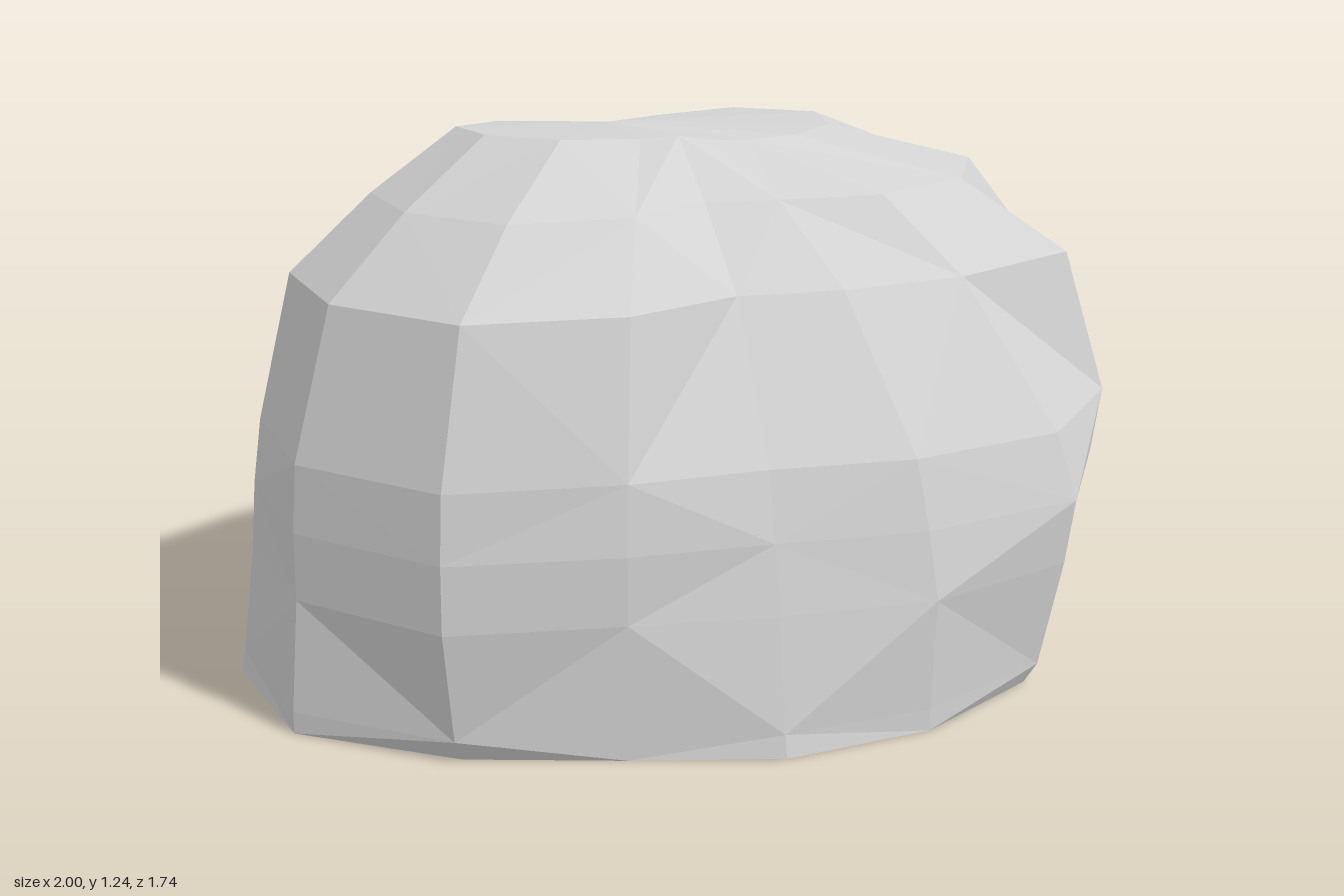
import * as THREE from 'three';

// Horizontal cross-sections: height, then radii around y, from +x towards +z
const SECTIONS = [
  [0.00, [.83, .88, .95, .91, .87, .83, .91, 1.03, 1.0, .95, .91, .83, .87, .86, .86, .84]],
  [0.05, [.88, .93, .98, .91, .86, .83, .94, 1.03, .99, .95, .91, .83, .86, .86, .87, .88]],
  [0.30, [.95, 1.03, 1.03, .92, .82, .83, .98, 1.01, .96, .93, .89, .82, .82, .85, .88, .92]],
  [0.45, [.98, 1.06, 1.05, .89, .79, .83, .98, 1.01, .95, .92, .87, .82, .82, .85, .88, .93]],
  [0.60, [.99, 1.08, 1.00, .85, .75, .81, .97, 1.00, .93, .90, .84, .80, .82, .85, .88, .93]],
  [0.93, [.98, .98, .77, .63, .56, .72, .88, .90, .85, .77, .65, .61, .63, .71, .85, .92]],
  [1.10, [.84, .73, .58, .43, .37, .53, .68, .70, .66, .54, .43, .39, .41, .52, .72, .84]],
  [1.20, [.46, .34, .25, .19, .20, .33, .44, .48, .46, .35, .23, .18, .18, .30, .50, .56]],
];
const SIDES = 16;

export function createModel() {
  const group = new THREE.Group();
  const stone = new THREE.MeshStandardMaterial({ color: 0xd2d2d2 });
  stone.name = 'stoneGrey';

  // Ring points; the top ring rises slightly into the hump on the -x side
  const rings = SECTIONS.map(([y, radii], j) => radii.map((r, i) => {
    const a = (i / SIDES) * Math.PI * 2;
    const lift = j === SECTIONS.length - 1 ? 0.045 * Math.max(0, Math.cos(a - 2.6)) : 0;
    return [r * Math.cos(a), y + lift, r * Math.sin(a)];
  }));
  const crown = [-0.1, 1.235, 0.02];
  const baseCentre = [0, 0, 0];

  const positions = [];
  const tri = (...corners) => corners.forEach((p) => positions.push(...p));

  // Facets between rings, with alternating diagonals for a chipped look
  for (let j = 0; j < rings.length - 1; j++) {
    for (let i = 0; i < SIDES; i++) {
      const k = (i + 1) % SIDES;
      const a = rings[j][i], b = rings[j][k], c = rings[j + 1][i], d = rings[j + 1][k];
      if ((i + j) % 2) { tri(a, c, d); tri(a, d, b); }
      else { tri(a, c, b); tri(c, d, b); }
    }
  }
  // Crown and flat underside
  const top = rings[rings.length - 1];
  for (let i = 0; i < SIDES; i++) {
    const k = (i + 1) % SIDES;
    tri(crown, top[k], top[i]);
    tri(baseCentre, rings[0][i], rings[0][k]);
  }

  // Unshared corners give flat facets
  const geometry = new THREE.BufferGeometry();
  geometry.setAttribute('position', new THREE.Float32BufferAttribute(positions, 3));
  geometry.computeVertexNormals();

  const boulder = new THREE.Mesh(geometry, stone);
  boulder.name = 'boulder';
  group.add(boulder);
  group.name = 'rock';
  return group;
}
